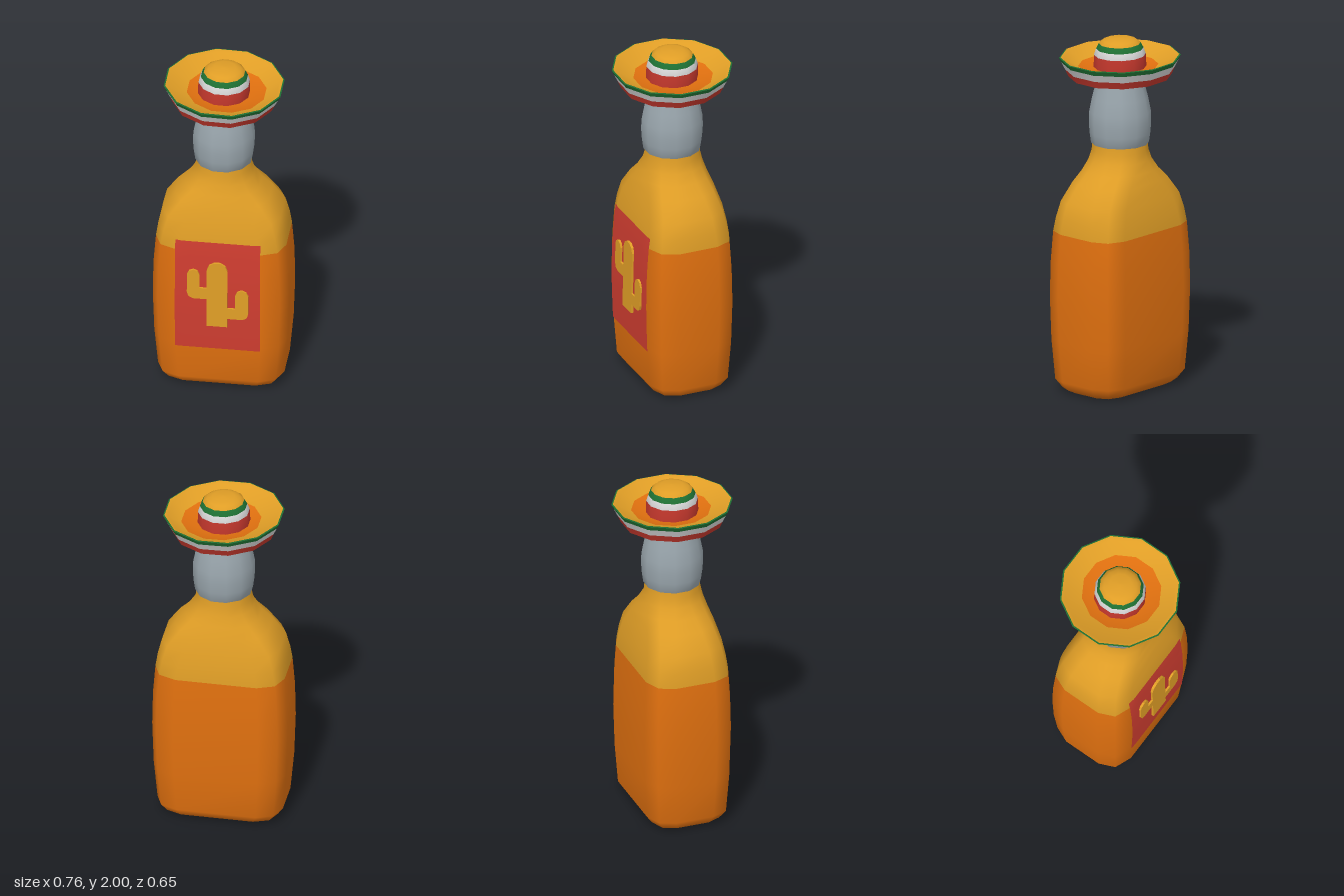
import * as THREE from 'three';

const mat = (name, color) => {
  const m = new THREE.MeshStandardMaterial({ color });
  m.name = name;
  return m;
};

// Quarter outlines (x, z fractions) of the squarish body and the round neck
const SQUARE = [[1, 0.47], [0.895, 0.84], [0.63, 1]];
const ROUND = [[1, 0.268], [0.732, 0.732], [0.268, 1]];
const SIDES = 12;

// Twelve-point outline: t = 0 is squarish, t = 1 is round
function outline(t) {
  const q = SQUARE.map(([x, z], i) => [
    x + (ROUND[i][0] - x) * t,
    z + (ROUND[i][1] - z) * t,
  ]);
  const r = [...q].reverse();
  return [
    ...q,
    ...r.map(([x, z]) => [-x, z]),
    ...q.map(([x, z]) => [-x, -z]),
    ...r.map(([x, z]) => [x, -z]),
  ];
}

// Skin over rings [y, halfWidth, halfDepth, t, material index of band above, x shift]
function loft(name, rings, materials) {
  const pos = [], index = [];
  const geo = new THREE.BufferGeometry();
  rings.forEach(([y, w, d, t, m = 0, shift = 0], i) => {
    for (const [x, z] of outline(t)) pos.push(x * w + shift, y, z * d);
    if (i === rings.length - 1) return;
    geo.addGroup(index.length, SIDES * 6, m);
    for (let j = 0; j < SIDES; j++) {
      const a = i * SIDES + j, b = i * SIDES + (j + 1) % SIDES;
      index.push(a, a + SIDES, b, b, a + SIDES, b + SIDES);
    }
  });
  geo.setAttribute('position', new THREE.Float32BufferAttribute(pos, 3));
  geo.setIndex(index);
  geo.computeVertexNormals();
  const mesh = new THREE.Mesh(geo, materials);
  mesh.name = name;
  return mesh;
}

// Round version: rings [y, radius, material index, x shift]
const roundLoft = (name, rings, materials) =>
  loft(name, rings.map(([y, r, m, s]) => [y, r, r, 1, m, s]), materials);

const BODY = [
  [0, 0, 0, 0, 0],
  [0, 0.28, 0.165, 0, 0],
  [0.02, 0.32, 0.2, 0, 0],
  [0.07, 0.353, 0.235, 0, 0],
  [0.3, 0.373, 0.25, 0, 0],
  [0.55, 0.381, 0.256, 0, 0],
  [0.75, 0.377, 0.252, 0, 0],
  [0.92, 0.364, 0.243, 0, 1],
  [1.0, 0.352, 0.234, 0.05, 1],
  [1.09, 0.33, 0.219, 0.15, 1],
  [1.19, 0.262, 0.196, 0.4, 1],
  [1.25, 0.205, 0.178, 0.65, 1],
  [1.31, 0.168, 0.162, 0.9, 1],
  [1.36, 0.152, 0.152, 1, 1],
  [1.41, 0.147, 0.147, 1, 1],
];

// Body half width and half depth at a height
function bodyAt(y) {
  const i = BODY.findIndex((r) => r[0] > y);
  const a = BODY[i - 1], b = BODY[i], k = (y - a[0]) / (b[0] - a[0]);
  return [a[1] + (b[1] - a[1]) * k, a[2] + (b[2] - a[2]) * k];
}

export function createModel() {
  const orange = mat('orange', 0xe0700f);
  const yellow = mat('golden yellow', 0xe09e26);
  const labelRed = mat('label red', 0xcf3d30);
  const foilGrey = mat('foil grey', 0x99a5ac);
  const hatRed = mat('hat red', 0xc2372c);
  const white = mat('white', 0xd8d8d8);
  const green = mat('green', 0x1f7033);

  const model = new THREE.Group();
  model.name = 'bottle';

  // Bottle body and neck foil
  model.add(loft('bottleBody', BODY, [orange, yellow]));
  model.add(roundLoft('neckFoil', [
    [1.4, 0.14], [1.4, 0.155], [1.46, 0.163], [1.52, 0.167], [1.58, 0.165],
    [1.66, 0.15], [1.74, 0.13], [1.8, 0.118],
  ], [foilGrey]));

  // Label sheet wrapped on the front
  const sheet = new THREE.PlaneGeometry(0.475, 0.695, 12, 12);
  sheet.translate(-0.002, 0.633, 0);
  const p = sheet.attributes.position;
  for (let i = 0; i < p.count; i++) {
    const [w, d] = bodyAt(p.getY(i));
    const past = Math.max(0, Math.abs(p.getX(i)) - 0.63 * w);
    p.setZ(i, d + 0.004 - past * 0.4);
  }
  sheet.computeVertexNormals();
  const label = new THREE.Mesh(sheet, labelRed);
  label.name = 'label';
  model.add(label);

  // Raised cactus on the label
  const shape = new THREE.Shape([
    [-0.06, 0.445], [0.055, 0.445], [0.055, 0.5], [0.14, 0.5], [0.163, 0.513],
    [0.172, 0.54], [0.172, 0.655], [0.16, 0.679], [0.135, 0.69], [0.11, 0.679],
    [0.099, 0.655], [0.099, 0.567], [0.055, 0.567], [0.055, 0.81], [0.043, 0.84],
    [0.015, 0.858], [-0.02, 0.858], [-0.048, 0.84], [-0.06, 0.81], [-0.06, 0.69],
    [-0.101, 0.69], [-0.101, 0.775], [-0.112, 0.798], [-0.135, 0.808],
    [-0.16, 0.798], [-0.171, 0.775], [-0.171, 0.66], [-0.162, 0.633],
    [-0.135, 0.62], [-0.06, 0.62],
  ].map(([x, y]) => new THREE.Vector2(x, y)));
  const cactusGeo = new THREE.ExtrudeGeometry(shape, { depth: 0.02, bevelEnabled: false });
  cactusGeo.translate(0, -0.65, 0);
  const cactus = new THREE.Mesh(cactusGeo, yellow);
  cactus.name = 'cactus';
  cactus.position.set(0, 0.65, 0.249);
  cactus.rotation.x = -0.02;
  model.add(cactus);

  // Slightly tilted hat, built about its own centre height
  const hat = new THREE.Group();
  hat.name = 'hat';
  hat.add(roundLoft('hatUnderside', [[-0.065, 0], [-0.065, 0.277]], [hatRed]));
  hat.add(roundLoft('brimOutside', [
    [-0.065, 0.277, 0], [-0.025, 0.294, 1], [0.017, 0.314, 2], [0.042, 0.326],
  ], [hatRed, white, green]));
  hat.add(roundLoft('brimTop', [
    [0.042, 0.326, 0], [0.045, 0.318, 1], [0.035, 0.3, 1],
    [-0.005, 0.215, 2, 0.015], [-0.015, 0.14],
  ], [green, yellow, orange]));
  hat.add(roundLoft('crown', [
    [-0.015, 0.141, 0], [0.055, 0.139, 1], [0.09, 0.127, 2], [0.12, 0.112, 3],
    [0.137, 0.09, 3], [0.147, 0.06, 3], [0.15, 0],
  ], [hatRed, white, green, yellow]));
  hat.position.y = 1.85;
  hat.rotation.z = -0.023;
  model.add(hat);

  return model;
}
